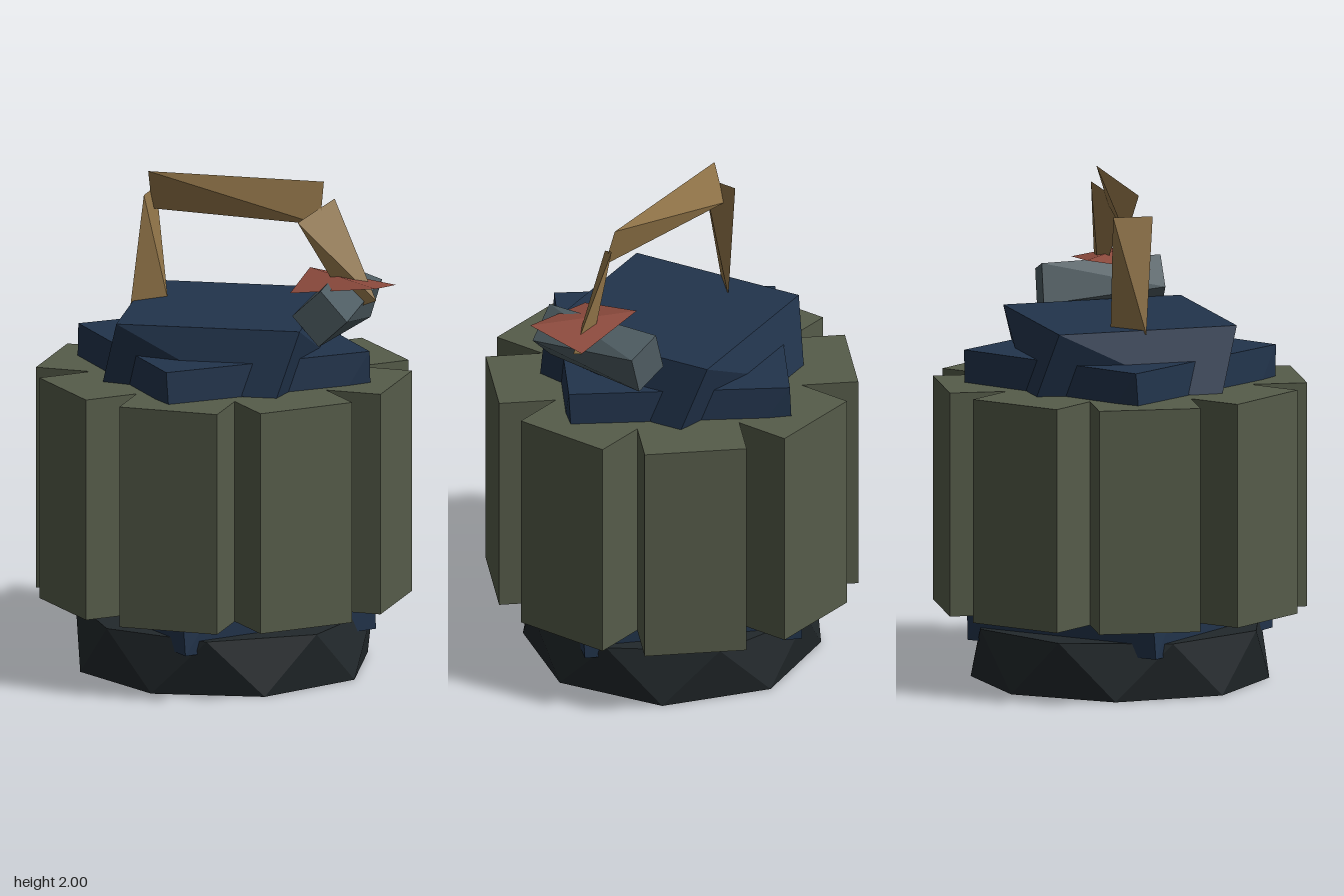
import * as THREE from 'three';
import { ConvexGeometry } from 'three/addons/geometries/ConvexGeometry.js';

const mat = (color) => new THREE.MeshStandardMaterial({ color, flatShading: true });
const green = mat(0x565c4a), blue = mat(0x22344c), dark = mat(0x22282b);
const tan = mat(0x94774a), red = mat(0x8c4a3d), grey = mat(0x4e5c62);

// Regular ring of corners at height y, first corner at the given angle in degrees
function ring(n, radius, y, degrees) {
  return Array.from({ length: n }, (_, i) => {
    const a = THREE.MathUtils.degToRad(degrees + (360 * i) / n);
    return new THREE.Vector3(radius * Math.cos(a), y, radius * Math.sin(a));
  });
}

// Faceted solid spanned by corner points
function solid(name, points, material) {
  const mesh = new THREE.Mesh(new ConvexGeometry(points), material);
  mesh.name = name;
  return mesh;
}

const corners = (list) => list.map((p) => new THREE.Vector3(...p));

export function createModel() {
  const group = new THREE.Group();

  // Foot: octagon twisted by half a step
  group.add(solid('base', [...ring(8, 0.596, 0, 11.25), ...ring(8, 0.596, 0.23, 33.75)], dark));

  // Core: slightly twisted square column
  group.add(solid('core', [...ring(4, 0.625, 0.175, -3.7), ...ring(4, 0.625, 1.335, 3.7)], blue));

  // Eight lobes from four crossed slabs
  const body = new THREE.Group();
  body.name = 'body';
  for (let i = 0; i < 4; i++) {
    const slab = new THREE.Mesh(new THREE.BoxGeometry(0.41, 0.905, 1.445), green);
    slab.name = 'bodyLobes';
    slab.position.y = 0.7525;
    slab.rotation.y = (i * Math.PI) / 4;
    body.add(slab);
  }
  group.add(body);

  // Twisted square cap
  group.add(solid('cap', [...ring(4, 0.53, 1.15, 51), ...ring(4, 0.525, 1.465, 37)], blue));

  // Handle: blades twisted from one end to the other
  const handle = new THREE.Group();
  handle.name = 'handle';
  handle.add(
    solid('post', corners([
      [-0.31, 1.915, -0.08], [-0.31, 1.915, 0.08], [-0.262, 1.45, -0.082], [-0.378, 1.45, 0.043],
    ]), tan),
    solid('beam', corners([
      [-0.31, 2, 0.024], [-0.31, 1.835, -0.027], [0.41, 2, -0.027], [0.41, 1.835, 0.024],
    ]), tan),
    solid('spout', corners([
      [0.335, 1.85, 0.08], [0.45, 1.93, -0.042], [0.64, 1.535, 0.005], [0.53, 1.49, 0.005],
    ]), tan),
  );
  group.add(handle);

  // Twisted thin plate around the spout
  group.add(solid('plate', corners([
    [0.335, 1.63, -0.08], [0.695, 1.585, -0.08], [0.695, 1.63, 0.18], [0.335, 1.585, 0.18],
  ]), red));

  // Twisted square bar lying front to back below the plate
  const bar = solid('bar', [...ring(4, 0.117, -0.245, -28), ...ring(4, 0.115, 0.245, 2)], grey);
  bar.rotation.x = Math.PI / 2;
  bar.position.set(0.48, 1.505, 0);
  group.add(bar);

  return group;
}
